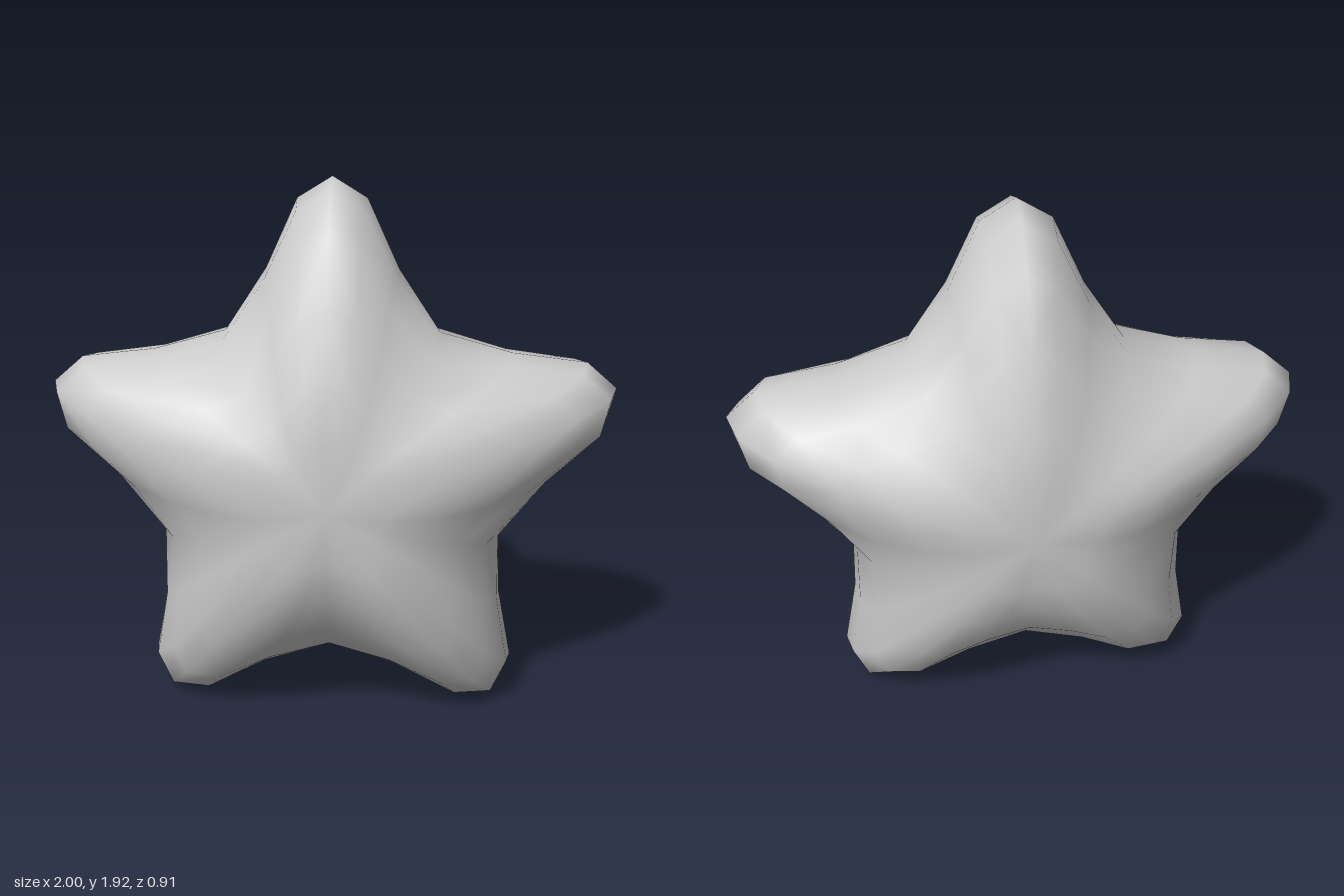
import * as THREE from 'three';

// Rings from the front centre to the rim: [z, radius along an arm ridge, radius along a valley]
const RINGS = [
  [0.45, 0.25, 0.18],
  [0.415, 0.43, 0.32],
  [0.335, 0.67, 0.47],
  [0.23, 0.885, 0.58],
  [0.115, 1.015, 0.63],
  [0, 1.053, 0.642],
];
// One arm, tip to tip: [angle in degrees at the rim, share of ridge radius]
const ARM = [[0, 1], [7, 0.84], [17.3, 0.325], [36, 0], [54.7, 0.325], [65, 0.84]];
const COLUMNS = ARM.length * 5;
const CENTER_Y = 0.866;

function ringPoints([z, ridge, valley]) {
  const spread = THREE.MathUtils.clamp((ridge - 0.25) / 0.6, 0, 1);
  const points = [];
  for (let arm = 0; arm < 5; arm++) {
    ARM.forEach(([rimAngle, rimShare], k) => {
      // near the middle the columns are even and the arms blend softly
      const angle = THREE.MathUtils.degToRad(arm * 72 + THREE.MathUtils.lerp(k * 12, rimAngle, spread));
      const evenShare = 0.5 + 0.5 * Math.cos(k * Math.PI / 3);
      const share = THREE.MathUtils.lerp(evenShare, rimShare, spread);
      const r = valley + (ridge - valley) * share;
      points.push(r * Math.sin(angle), CENTER_Y + r * Math.cos(angle), z);
    });
  }
  return points;
}

function starGeometry() {
  // front rings, rim, then the same rings mirrored to the back
  const back = RINGS.slice(0, -1).reverse().map(([z, a, b]) => [-z, a, b]);
  const rings = [...RINGS, ...back];
  const positions = rings.flatMap(ringPoints);
  const front = rings.length * COLUMNS;
  positions.push(0, CENTER_Y, 0.455, 0, CENTER_Y, -0.455);

  const index = [];
  const last = (rings.length - 1) * COLUMNS;
  for (let c = 0; c < COLUMNS; c++) {
    const n = (c + 1) % COLUMNS;
    index.push(front, n, c);
    for (let i = 0; i < rings.length - 1; i++) {
      const p = i * COLUMNS, q = p + COLUMNS;
      // mirror the diagonals on the two sides of each arm
      if (c % 6 < 3) index.push(p + c, p + n, q + c, p + n, q + n, q + c);
      else index.push(p + c, q + n, q + c, p + c, p + n, q + n);
    }
    index.push(front + 1, last + c, last + n);
  }
  const geometry = new THREE.BufferGeometry();
  geometry.setAttribute('position', new THREE.Float32BufferAttribute(positions, 3));
  geometry.setIndex(index);
  geometry.computeVertexNormals();
  return geometry;
}

export function createModel() {
  const group = new THREE.Group();
  const star = new THREE.Mesh(starGeometry(), new THREE.MeshStandardMaterial({ color: 0xcccccc }));
  star.name = 'puffyStar';
  group.add(star);
  return group;
}
